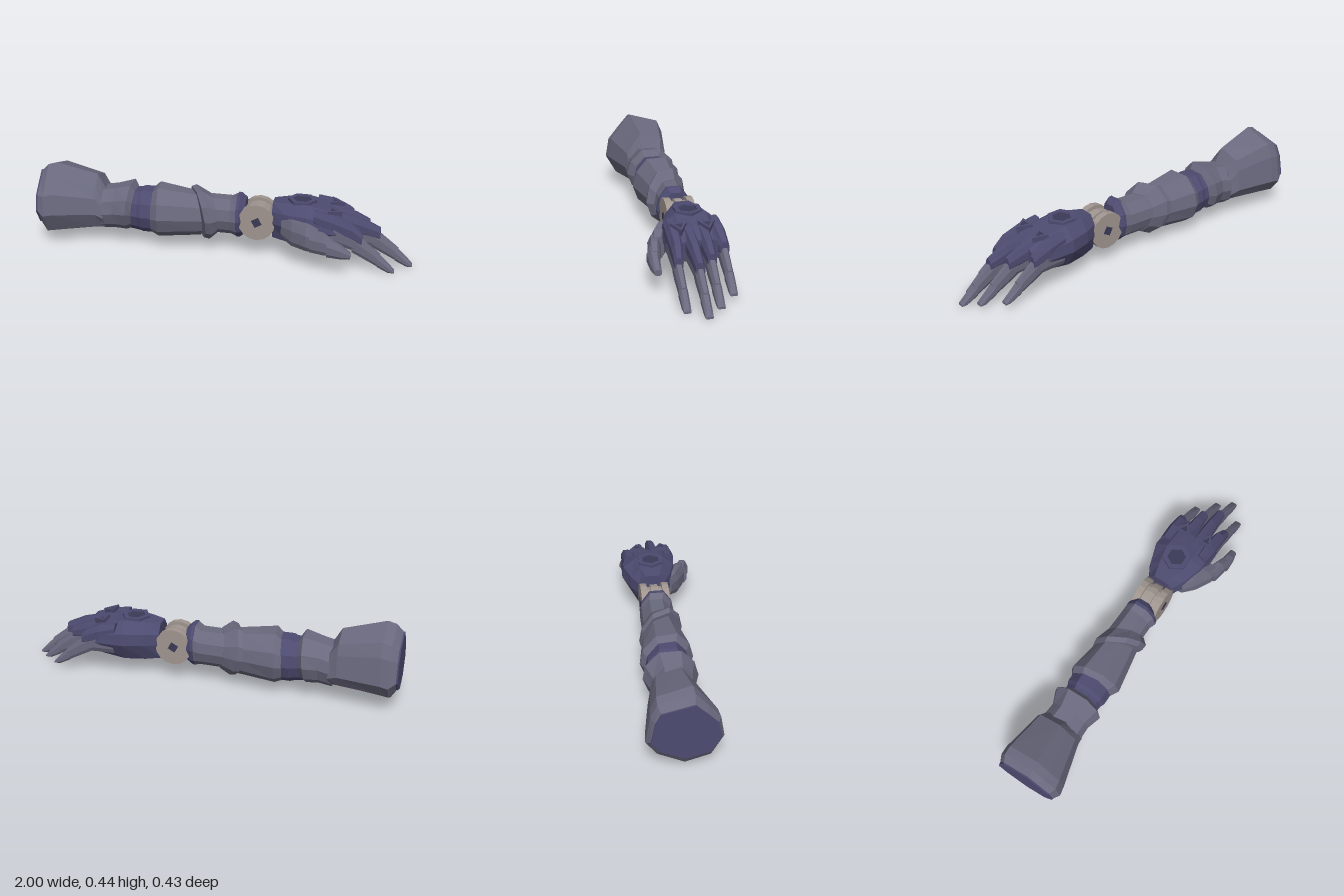
import * as THREE from 'three';

const mat = (name, color) => {
  const m = new THREE.MeshStandardMaterial({ color, flatShading: true });
  m.name = name;
  return m;
};

// Unit cross-sections as [z, y], running from the top towards +z
const SHOULDER = [[.24, 1], [.56, .66], [.9, .27], [1, -.28], [.67, -.82], [0, -1], [-.7, -.68], [-1, -.31], [-.87, .41], [-.7, .76]];
const ARM = [[.4, 1], [.85, .5], [1, -.1], [.8, -.65], [.35, -1], [-.35, -1], [-.8, -.65], [-1, -.1], [-.9, .45], [-.4, 1]];
const PALM = [[.5, 1], [.92, .55], [1, -.1], [.65, -1], [-.65, -1], [-1, -.1], [-.95, .5], [-.5, 1]];
const FINGER = [[.5, 1], [1, .3], [1, -.6], [.65, -1], [-.65, -1], [-1, -.6], [-1, .3], [-.5, 1]];

// Loft a cross-section along x; rows are [x, yMin, yMax, zMin, zMax, slantByZ, slantByY]
function loft(shape, rows) {
  const rings = rows.map(([x, y0, y1, z0, z1, sz = 0, sy = 0]) => shape.map(([u, v]) => {
    const dz = u * (z1 - z0) / 2, dy = v * (y1 - y0) / 2;
    return [x + sz * dz + sy * dy, (y0 + y1) / 2 + dy, (z0 + z1) / 2 + dz];
  }));
  const pos = [], n = shape.length;
  const tri = (a, b, c) => pos.push(...a, ...b, ...c);
  for (let s = 0; s < rings.length - 1; s++) {
    for (let i = 0; i < n; i++) {
      const j = (i + 1) % n, p = rings[s], q = rings[s + 1];
      tri(p[i], p[j], q[j]);
      tri(p[i], q[j], q[i]);
    }
  }
  const first = rings[0], last = rings[rings.length - 1];
  for (let i = 1; i < n - 1; i++) {
    tri(first[0], first[i + 1], first[i]);
    tri(last[0], last[i], last[i + 1]);
  }
  const g = new THREE.BufferGeometry();
  g.setAttribute('position', new THREE.Float32BufferAttribute(pos, 3));
  g.computeVertexNormals();
  return g;
}

// Raised polygonal frame lying in the xz plane
function frame(sides, outer, inner, height) {
  const corners = (r) => Array.from({ length: sides }, (_, i) => {
    const a = i / sides * Math.PI * 2;
    return new THREE.Vector2(Math.cos(a) * r, Math.sin(a) * r);
  });
  const s = new THREE.Shape(corners(outer));
  s.holes.push(new THREE.Path(corners(inner).reverse()));
  return new THREE.ExtrudeGeometry(s, { depth: height, bevelEnabled: false }).rotateX(-Math.PI / 2);
}

export function createModel() {
  const armor = mat('greyArmor', 0x6a697e);
  const blue = mat('blueArmor', 0x4d4b70);
  const joint = mat('jointMetal', 0xa0958f);
  const dark = mat('darkRecess', 0x3b3a56);
  const model = new THREE.Group();
  model.name = 'mechanicalArm';

  const add = (name, geometry, material, x = 0, y = 0, z = 0, parent = model) => {
    const m = new THREE.Mesh(geometry, material);
    m.name = name;
    m.position.set(x, y, z);
    parent.add(m);
    return m;
  };

  // Shoulder and upper arm
  add('shoulder', loft(SHOULDER, [
    [-.99, .09, .39, -.195, .13],
    [-.955, .035, .425, -.215, .148],
    [-.91, .04, .438, -.212, .14],
    [-.69, .068, .38, -.172, .08],
    [-.645, .078, .3, -.155, .073],
  ]), armor);
  add('shoulderEndCap', loft(SHOULDER, [
    [-.998, .09, .39, -.195, .13],
    [-.99, .09, .39, -.195, .13],
  ]), blue);
  add('upperArm', loft(ARM, [
    [-.66, .078, .3, -.155, .073],
    [-.59, .085, .315, -.145, .075],
    [-.515, .085, .338, -.175, .1, 0, .1],
    [-.49, .095, .305, -.14, .07, 0, .1],
  ]), armor);

  // Elbow band with a central ridge
  add('elbowBand', loft(ARM, [
    [-.53, .09, .3, -.135, .06],
    [-.46, .08, .303, -.14, .065],
    [-.44, .075, .31, -.15, .075],
    [-.38, .075, .31, -.15, .075],
    [-.33, .09, .3, -.135, .06],
  ]), blue);

  // Forearm armour, slanted cuff and lower forearm
  add('forearm', loft(ARM, [
    [-.395, .075, .3, -.15, .075, .1, 0],
    [-.355, .06, .335, -.172, .102, .1, 0],
    [-.15, .08, .308, -.14, .062, .45, -.1],
  ]), armor);
  add('forearmCuff', loft(ARM, [
    [-.145, .07, .325, -.15, .082, .52, -.15],
    [-.115, .065, .337, -.152, .085, .52, -.15],
    [-.06, .095, .298, -.13, .052, .4, -.1],
  ]), armor);
  add('lowerForearm', loft(ARM, [
    [-.1, .1, .295, -.128, .045],
    [.04, .1, .295, -.122, .05],
    [.075, .09, .315, -.118, .062],
  ]), armor);
  add('wristCuff', loft(ARM, [
    [.074, .088, .318, -.12, .063],
    [.09, .09, .318, -.118, .06],
    [.12, .11, .295, -.1, .03],
  ]), blue);

  // Wrist hinge
  const wrist = new THREE.Group();
  wrist.name = 'wristHinge';
  wrist.position.set(.185, .195, -.028);
  model.add(wrist);
  const disc = (r, d) => new THREE.CylinderGeometry(r, r, d, 16).rotateX(Math.PI / 2);
  add('hingeHub', disc(.078, .13), joint, 0, 0, 0, wrist);
  add('hingeCentreDisc', disc(.09, .04), joint, 0, 0, 0, wrist);
  for (const s of [1, -1]) {
    add('hingeDisc', disc(.098, .035), joint, 0, 0, s * .058, wrist);
    add('hingeSocket', new THREE.BoxGeometry(.042, .042, .006), dark, 0, 0, s * .075, wrist).rotation.z = .5;
  }

  // Palm
  add('palm', loft(PALM, [
    [.265, .11, .303, -.1, .045],
    [.34, .105, .31, -.14, .09],
    [.45, .105, .315, -.175, .125],
    [.58, .12, .288, -.168, .13],
    [.66, .15, .25, -.15, .115],
  ]), blue);

  // Emblem-free raised frames on the back of the hand
  add('hexFrame', frame(6, .076, .05, .022), blue, .415, .302, -.02).rotation.z = -.02;
  add('hexRecess', new THREE.CylinderGeometry(.05, .05, .008, 6).rotateY(Math.PI / 6), dark, .415, .312, -.02);
  for (const z of [-.075, .062]) {
    const t = add('knuckleFrame', frame(3, .048, .025, .035), blue, .58, .272, z);
    t.rotation.z = -.18;
    add('knuckleRecess', new THREE.CylinderGeometry(.026, .026, .008, 3).rotateY(Math.PI / 2), dark, 0, .025, 0, t);
  }

  // Four fingers: [root z, tip x, tip y, tip z]
  const fingers = [[.088, .91, .003, .1], [.018, .998, .01, .02], [-.055, .938, .023, -.052], [-.128, .848, .037, -.137]];
  fingers.forEach(([rz, tx, ty, tz], i) => {
    const f = new THREE.Group();
    f.name = 'finger' + (i + 1);
    model.add(f);
    const row = (x, y0, y1, z, w) => [x, y0, y1, z - w, z + w];
    const kx = tx - .18, mz = (rz + tz) / 2;
    add('fingerCore', loft(FINGER, [
      row(.5, .14, .27, rz, .032),
      row(.6, .14, .262, mz, .03),
      row(kx, ty + .1, ty + .175, tz, .021),
    ]), armor, 0, 0, 0, f);
    add('fingerPlate', loft(FINGER, [
      row(.49, .24, .306, rz, .032),
      row(.58, .2, .292, rz, .036),
      row((.58 + kx) / 2 + .03, .16 + ty * .5, .256, mz, .028),
      row(kx + .01, ty + .14, ty + .2, tz, .022),
    ]), blue, 0, 0, 0, f);
    add('fingerMiddle', loft(FINGER, [
      row(tx - .22, ty + .1, ty + .185, tz, .02),
      row(tx - .17, ty + .075, ty + .17, tz, .023),
      row(tx - .075, ty + .025, ty + .095, tz, .019),
    ]), armor, 0, 0, 0, f);
    add('fingerTip', loft(FINGER, [
      row(tx - .09, ty + .03, ty + .102, tz, .022),
      row(tx - .03, ty, ty + .045, tz, .02),
      row(tx, ty, ty + .012, tz, .018),
    ]), armor, 0, 0, 0, f);
  });

  // Thumb
  const thumb = new THREE.Group();
  thumb.name = 'thumb';
  model.add(thumb);
  add('thumbBase', loft(FINGER, [
    [.32, .14, .235, .03, .085],
    [.38, .115, .25, .06, .135],
    [.46, .11, .245, .09, .178],
    [.52, .115, .225, .12, .19],
  ]), armor, 0, 0, 0, thumb);
  add('thumbMiddle', loft(FINGER, [
    [.48, .115, .225, .125, .195],
    [.55, .11, .22, .145, .207],
    [.6, .11, .19, .158, .21],
  ]), armor, 0, 0, 0, thumb);
  add('thumbTip', loft(FINGER, [
    [.57, .105, .2, .155, .217],
    [.64, .1, .17, .165, .215],
    [.69, .102, .132, .17, .205],
  ]), armor, 0, 0, 0, thumb);

  return model;
}
